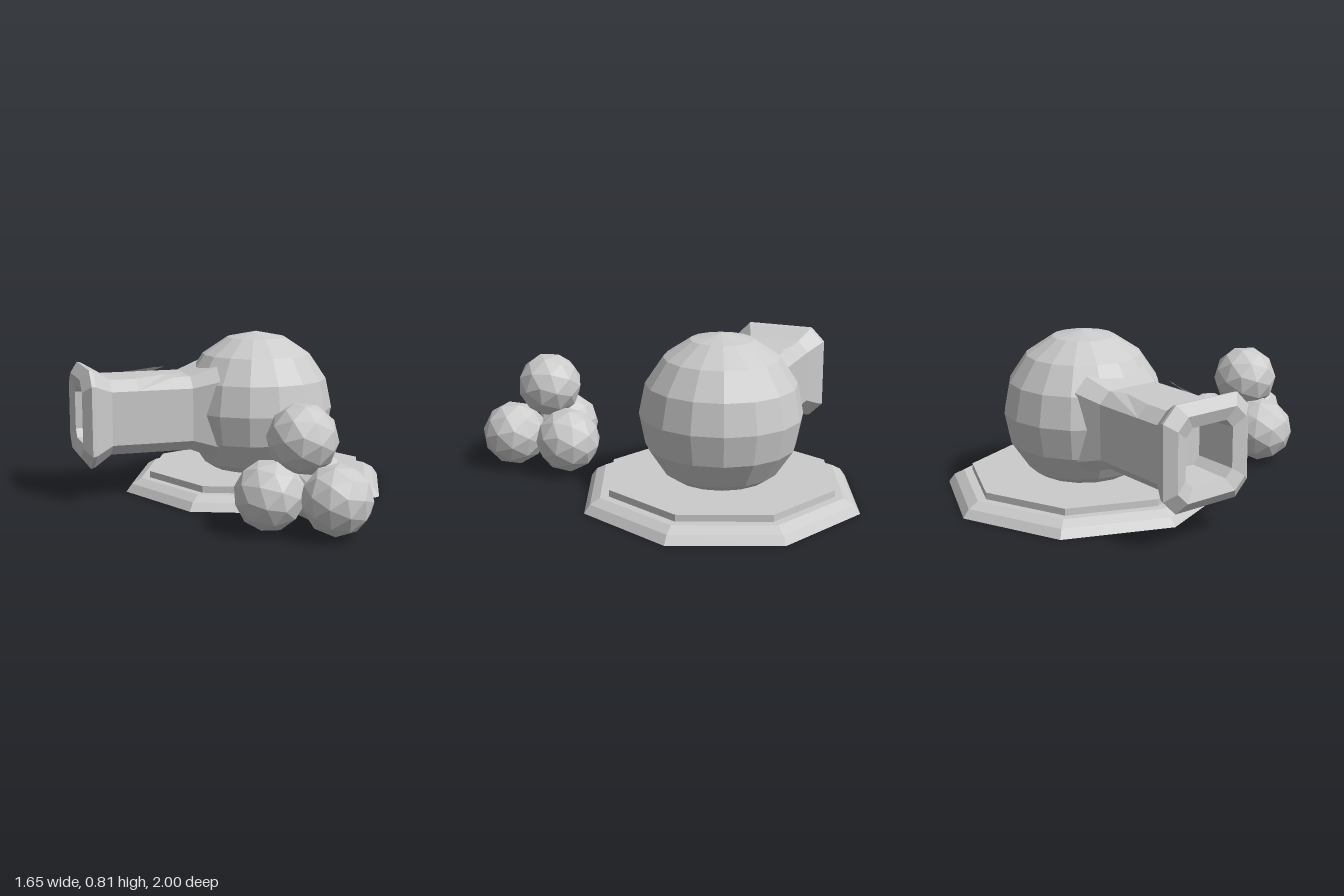
import * as THREE from 'three';

const grey = new THREE.MeshStandardMaterial({ color: 0xcccccc, flatShading: true });
const greyThin = new THREE.MeshStandardMaterial({ color: 0xcccccc, flatShading: true, side: THREE.DoubleSide });

function part(name, geometry, parent, x = 0, y = 0, z = 0, material = grey) {
  const mesh = new THREE.Mesh(geometry, material);
  mesh.name = name;
  mesh.position.set(x, y, z);
  parent.add(mesh);
  return mesh;
}

function surface(positions, index) {
  const g = new THREE.BufferGeometry();
  g.setAttribute('position', new THREE.Float32BufferAttribute(positions, 3));
  g.setIndex(index);
  const flat = g.toNonIndexed();
  flat.computeVertexNormals();
  return flat;
}

// Loft of squares with chamfered corners along x; rings are [x, half size]
function chamferedLoft(rings) {
  const c = 0.71;
  const section = [[1, -c], [1, c], [c, 1], [-c, 1], [-1, c], [-1, -c], [-c, -1], [c, -1]];
  const positions = [], index = [], n = section.length;
  for (const [x, h] of rings) for (const [y, z] of section) positions.push(x, y * h, z * h);
  for (let i = 0; i < rings.length - 1; i++) {
    for (let j = 0; j < n; j++) {
      const a = i * n + j, b = i * n + (j + 1) % n;
      index.push(a, a + n, b, b, a + n, b + n);
    }
  }
  return surface(positions, index);
}

export function createModel() {
  const model = new THREE.Group();
  model.name = 'cannon';

  // Stepped octagonal base
  const cannon = new THREE.Group();
  cannon.name = 'cannonOnBase';
  cannon.position.set(0.12, 0, -0.305);
  model.add(cannon);
  const profile = [[0, 0], [0.7, 0], [0.67, 0.04], [0.62, 0.067], [0, 0.067]];
  part('base', new THREE.LatheGeometry(profile.map(p => new THREE.Vector2(...p)), 8), cannon);
  part('basePlate', new THREE.CylinderGeometry(0.575, 0.575, 0.06, 8), cannon, 0, 0.07);

  // Round body
  part('body', new THREE.SphereGeometry(0.395, 16, 8), cannon, 0, 0.413);

  // Barrel with flared muzzle and recessed bore
  const barrel = new THREE.Group();
  barrel.name = 'barrelGroup';
  barrel.position.set(0, 0.415, -0.003);
  cannon.add(barrel);
  part('barrel', chamferedLoft([
    [-0.26, 0.235], [-0.39, 0.188], [-0.8, 0.188], [-0.89, 0.24], [-0.91, 0.245],
    [-0.95, 0.195], [-0.93, 0.135], [-0.72, 0.125], [-0.72, 0],
  ]), barrel);

  // Thin raised flaps on the two upper chamfers
  for (const s of [1, -1]) {
    const flap = [
      -0.67, 0.188, s * 0.133, -0.67, 0.133, s * 0.188,
      -0.52, 0.205, s * 0.135, -0.45, 0.203, s * 0.165,
    ];
    part(s > 0 ? 'frontFlap' : 'backFlap', surface(flap, [0, 1, 2, 1, 3, 2]), barrel, 0, 0, 0, greyThin);
  }

  // Stack of four cannonballs
  const pile = new THREE.Group();
  pile.name = 'cannonballPile';
  model.add(pile);
  const centres = [[0.125, 0.175, 0.835], [0.125, 0.175, 0.525], [-0.13, 0.175, 0.66], [0.018, 0.425, 0.68]];
  centres.forEach((p, i) => {
    const ball = part('cannonball' + (i + 1), new THREE.IcosahedronGeometry(0.164, 1), pile, ...p);
    ball.rotation.set(0.3 + i * 0.4, i * 0.9, 0.2);
  });

  return model;
}
